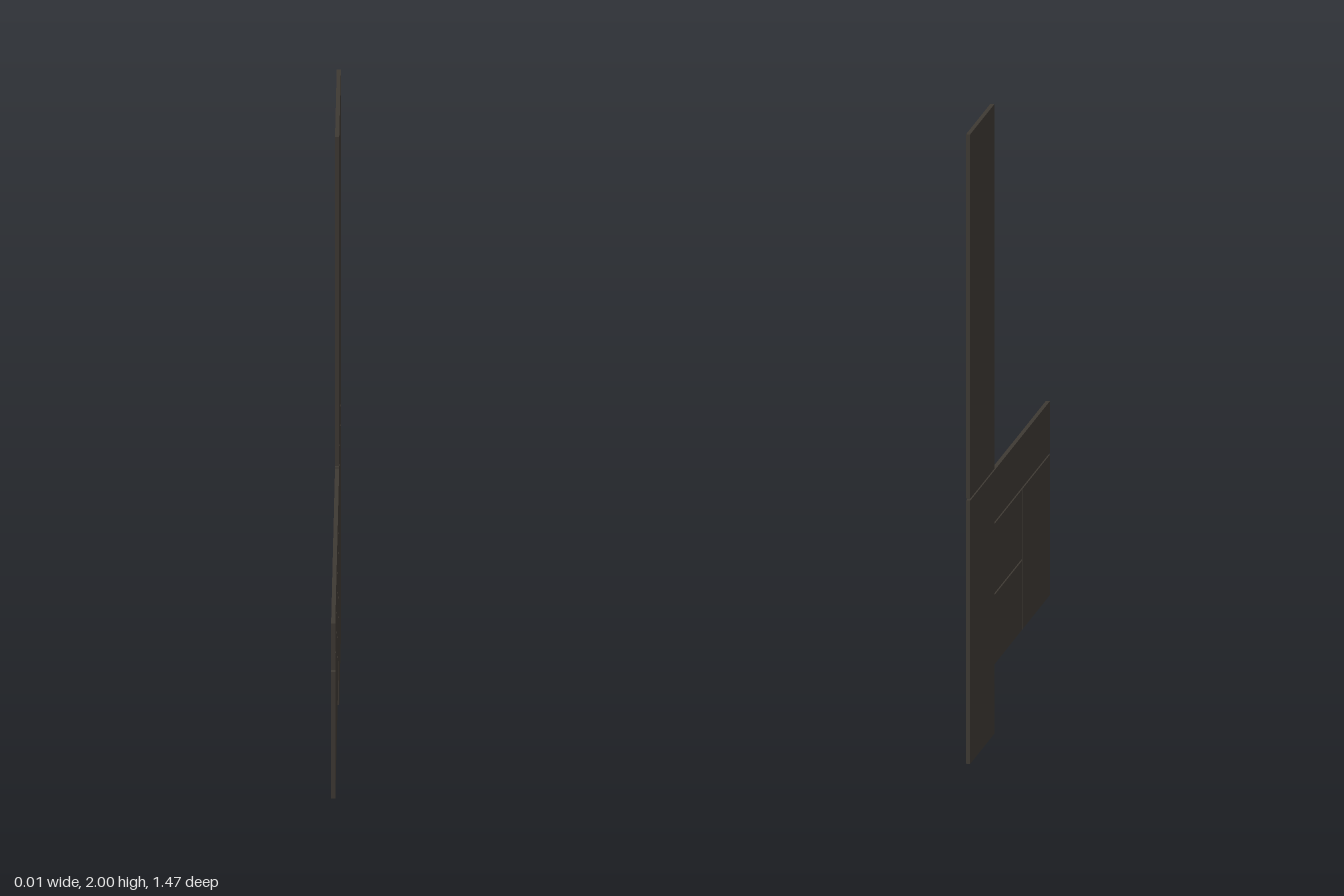
import * as THREE from 'three';

export function createModel() {
  const group = new THREE.Group();
  const darkWood = new THREE.MeshStandardMaterial({ color: 0x3e3933 });
  darkWood.name = 'dark wood';
  const thickness = 0.013;

  // Cabinet fronts standing in the yz plane: name, z range, y range
  const panels = [
    ['tallLowerDoor', -0.735, -0.291, 0, 0.836],
    ['tallUpperDoor', -0.735, -0.291, 0.842, 2],
    ['topDrawerFront', -0.286, 0.735, 0.672, 0.836],
    ['sideDoor', 0.228, 0.735, 0.22, 0.666],
    ['middleDrawerFront', -0.286, 0.222, 0.446, 0.666],
    ['bottomDrawerFront', -0.286, 0.222, 0.22, 0.44],
  ];
  for (const [name, z0, z1, y0, y1] of panels) {
    const panel = new THREE.Mesh(new THREE.BoxGeometry(thickness, y1 - y0, z1 - z0), darkWood);
    panel.name = name;
    panel.position.set(0, (y0 + y1) / 2, (z0 + z1) / 2);
    group.add(panel);
  }
  return group;
}
